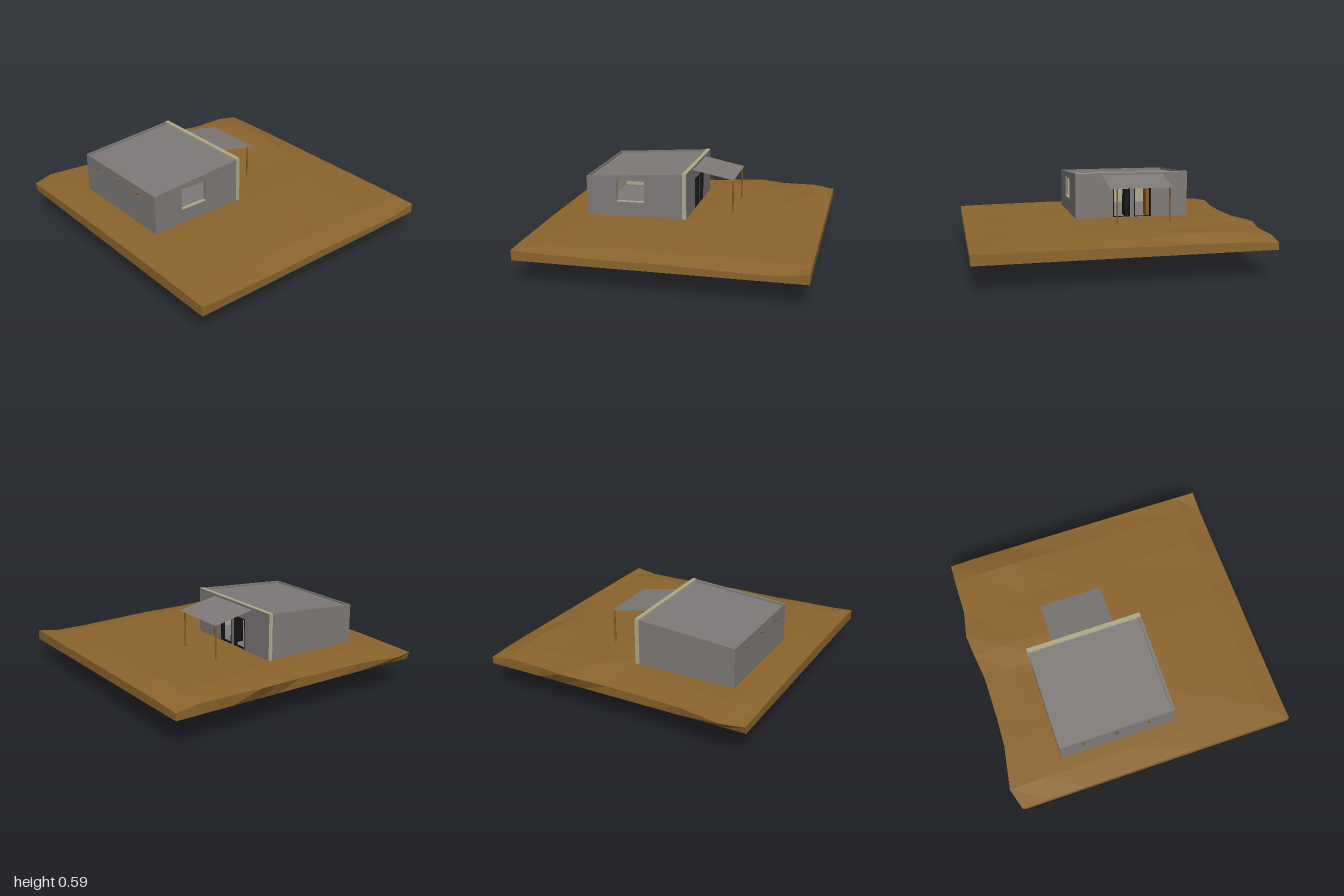
import * as THREE from 'three';

const mat = (name, color, side = THREE.FrontSide) => {
  const m = new THREE.MeshStandardMaterial({ color, side });
  m.name = name;
  return m;
};

export function createModel() {
  const earth = mat('earth', 0x8c652d);
  const grey = mat('grey render', 0x7e7a78);
  const greySheet = grey.clone();
  greySheet.side = THREE.DoubleSide;
  const cream = mat('cream plaster', 0xaeaa8a);
  const wood = mat('wood', 0x8a5a20);
  const dark = mat('dark frame', 0x121212);
  earth.flatShading = true;

  const model = new THREE.Group();
  model.name = 'house';
  const add = (name, geo, material, x = 0, y = 0, z = 0) => {
    const m = new THREE.Mesh(geo, material);
    m.name = name;
    m.position.set(x, y, z);
    model.add(m);
    return m;
  };
  // box given by its min and max corners
  const block = (name, material, x0, x1, y0, y1, z0, z1) =>
    add(name, new THREE.BoxGeometry(x1 - x0, y1 - y0, z1 - z0), material,
      (x0 + x1) / 2, (y0 + y1) / 2, (z0 + z1) / 2);
  // upright slab from an outline with rectangular holes [u0, u1, v0, v1]
  const slab = (points, depth, holes = []) => {
    const shape = new THREE.Shape(points.map(p => new THREE.Vector2(...p)));
    for (const [a, b, c, d] of holes) {
      shape.holes.push(new THREE.Path([[a, c], [a, d], [b, d], [b, c]].map(p => new THREE.Vector2(...p))));
    }
    return new THREE.ExtrudeGeometry(shape, { depth, bevelEnabled: false });
  };

  model.add(createGround(earth));

  // sloping front and back walls, window in the front
  const side = [[-0.71, 0.22], [-0.018, 0.22], [-0.018, 0.588], [-0.71, 0.54]];
  const windowHole = [-0.49, -0.29, 0.37, 0.52];
  add('frontWall', slab(side, 0.02, [windowHole]), grey, 0, 0, 0.195);
  add('backWall', slab(side, 0.012), grey, 0, 0, -0.6);
  const inner = [[-0.67, 0.22], [-0.02, 0.22], [-0.02, 0.565], [-0.67, 0.52]];
  add('frontLining', slab(inner, 0.004, [windowHole]), cream, 0, 0, 0.191);
  add('backLining', slab(inner, 0.004), cream, 0, 0, -0.588);
  block('windowSill', cream, -0.49, -0.29, 0.366, 0.372, 0.193, 0.216);

  // low side wall with drain spouts, and its deep inner lining
  block('lowWall', grey, -0.71, -0.7, 0.22, 0.54, -0.6, 0.215);
  const lining = add('lowWallLining', new THREE.PlaneGeometry(0.77, 0.515), cream.clone(), -0.67, 0.2575, -0.195);
  lining.material = cream;
  lining.rotation.y = Math.PI / 2;
  for (const z of [-0.44, -0.2, 0.03]) {
    const spout = add('drainSpout', new THREE.CylinderGeometry(0.009, 0.009, 0.03, 8), wood, -0.711, 0.495, z);
    spout.rotation.z = Math.PI / 2;
  }

  // tall entrance wall running below ground, cream on its edges
  const tall = [[-0.215, 0.03], [0.603, 0.03], [0.603, 0.592], [-0.215, 0.592]];
  const doors = [[0.055, 0.18, 0.272, 0.49], [0.21, 0.335, 0.272, 0.49]];
  const entrance = add('entranceWall', slab(tall, 0.026, doors), [grey, cream], -0.013);
  const back = add('entranceLining', slab(tall, 0.004, doors), cream, -0.0171);
  entrance.rotation.y = back.rotation.y = Math.PI / 2;

  // door frames and open leaves
  for (const [a, b, c, d] of doors) {
    const frame = add('doorFrame', slab([[a, c], [b, c], [b, d], [a, d]], 0.028,
      [[a + 0.007, b - 0.007, c + 0.001, d - 0.007]]), dark, -0.014);
    frame.rotation.y = Math.PI / 2;
  }
  block('darkDoorLeaf', dark, -0.09, -0.012, 0.273, 0.483, -0.175, -0.145);
  block('woodDoorLeaf', wood, -0.09, -0.012, 0.273, 0.483, -0.328, -0.3);

  // floor and sloping roof set below the parapets
  block('floor', grey, -0.7, -0.018, 0.262, 0.272, -0.59, 0.195);
  add('roof', slab([[-0.7, 0.515], [-0.018, 0.562], [-0.018, 0.574], [-0.7, 0.527]], 0.783), grey, 0, 0, -0.588);

  // porch canopy sheet on two posts
  const canopy = new THREE.PlaneGeometry(Math.hypot(0.297, 0.06), 0.44);
  canopy.rotateX(-Math.PI / 2);
  canopy.rotateZ(-Math.atan2(0.06, 0.297));
  add('canopy', canopy, greySheet, 0.1615, 0.546, -0.197);
  for (const z of [-0.026, -0.398]) {
    add('porchPost', new THREE.CylinderGeometry(0.006, 0.006, 0.27, 8), wood, 0.298, 0.382, z);
  }
  return model;
}

// uneven earth plate: height grid, skirt and flat underside
function createGround(material) {
  const xs = [-0.95, -0.8, -0.5, -0.3, 0.02, 0.2, 0.36, 0.55, 0.8, 0.95];
  const zs = [1, 0.85, 0.3, -0.1, -0.5, -0.75, -0.95];
  const backZ = [-0.955, -1, -0.95, -0.942, -0.942, -0.965, -0.98, -0.945, -0.942, -0.938];
  const heights = [
    [0.235, 0.225, 0.222, 0.216, 0.22, 0.215, 0.212, 0.207, 0.208, 0.232],
    [0.24, 0.245, 0.24, 0.24, 0.245, 0.24, 0.238, 0.24, 0.235, 0.236],
    [0.25, 0.258, 0.263, 0.264, 0.265, 0.262, 0.26, 0.258, 0.25, 0.24],
    [0.25, 0.262, 0.265, 0.266, 0.268, 0.272, 0.27, 0.268, 0.262, 0.242],
    [0.25, 0.262, 0.265, 0.266, 0.268, 0.28, 0.28, 0.276, 0.288, 0.245],
    [0.245, 0.262, 0.266, 0.264, 0.266, 0.288, 0.282, 0.28, 0.28, 0.245],
    [0.24, 0.248, 0.252, 0.25, 0.255, 0.265, 0.272, 0.262, 0.262, 0.238],
  ];
  const nx = xs.length, nz = zs.length, n = nx * nz;
  const pos = [], index = [];
  // upper layer, then lower layer
  for (const top of [true, false]) {
    zs.forEach((z, j) => xs.forEach((x, i) => {
      const last = j === nz - 1;
      if (top) pos.push(x, heights[j][i], last ? backZ[i] : z);
      else pos.push(x, 0.178 - 0.012 * z, last ? -0.938 : z);
    }));
  }
  const quad = (a, b, c, d) => index.push(a, b, c, a, c, d);
  for (let j = 0; j < nz - 1; j++) {
    for (let i = 0; i < nx - 1; i++) {
      const a = j * nx + i, b = a + 1, c = b + nx, d = a + nx;
      quad(a, b, c, d);
      quad(n + d, n + c, n + b, n + a);
    }
  }
  // skirt follows the rim anticlockwise seen from above
  const rim = [];
  for (let i = 0; i < nx; i++) rim.push(i);
  for (let j = 1; j < nz; j++) rim.push(j * nx + nx - 1);
  for (let i = nx - 2; i >= 0; i--) rim.push((nz - 1) * nx + i);
  for (let j = nz - 2; j > 0; j--) rim.push(j * nx);
  rim.forEach((a, k) => {
    const b = rim[(k + 1) % rim.length];
    quad(n + a, n + b, b, a);
  });
  const indexed = new THREE.BufferGeometry();
  indexed.setAttribute('position', new THREE.Float32BufferAttribute(pos, 3));
  indexed.setIndex(index);
  const geo = indexed.toNonIndexed();
  geo.computeVertexNormals();
  const ground = new THREE.Mesh(geo, material);
  ground.name = 'ground';
  return ground;
}
